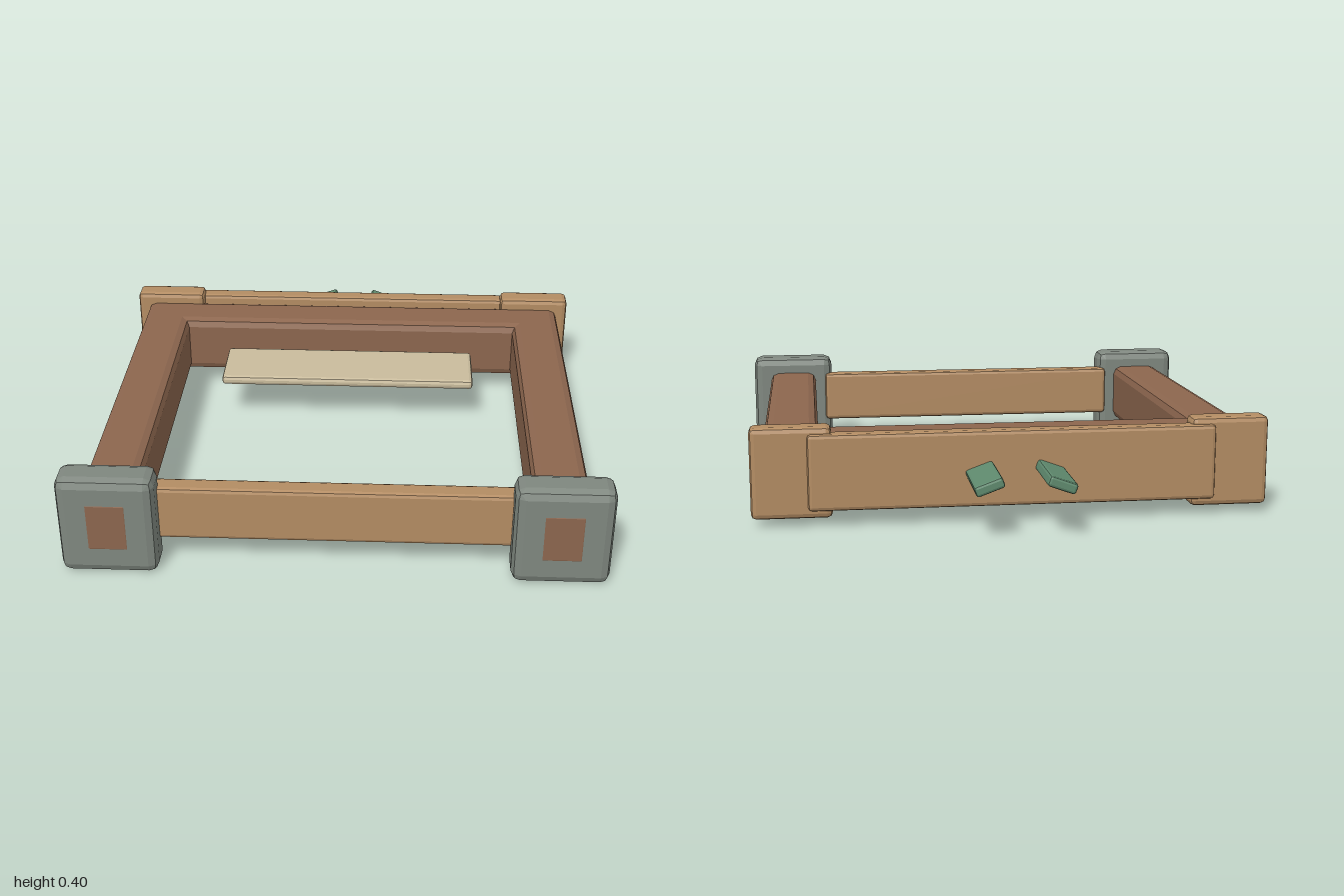
import * as THREE from 'three';
import { ConvexGeometry } from 'three/addons/geometries/ConvexGeometry.js';

// Box with two-step bevelled edges, centred on the origin
function bevelBox(w, h, d, r) {
  const points = [];
  for (const sx of [-1, 1]) for (const sy of [-1, 1]) for (const sz of [-1, 1]) {
    for (let m = 1; m < 8; m++) {
      const n = new THREE.Vector3(m & 1, (m >> 1) & 1, m >> 2).normalize();
      points.push(new THREE.Vector3(
        sx * (w / 2 - r + r * n.x),
        sy * (h / 2 - r + r * n.y),
        sz * (d / 2 - r + r * n.z)));
    }
  }
  return new ConvexGeometry(points);
}

export function createModel() {
  const group = new THREE.Group();
  const material = (name, color) => {
    const m = new THREE.MeshStandardMaterial({ color });
    m.name = name;
    return m;
  };
  const darkWood = material('dark wood', 0x8c664e);
  const lightWood = material('light wood', 0xb38c63);
  const stone = material('grey stone', 0x7f877f);
  const cream = material('cream', 0xc9bb9c);
  const green = material('green', 0x5f8a6e);

  // Adds a bevelled box given its extents on each axis
  const add = (name, mat, [x0, x1], [y0, y1], [z0, z1], bevel) => {
    const mesh = new THREE.Mesh(bevelBox(x1 - x0, y1 - y0, z1 - z0, bevel), mat);
    mesh.position.set((x0 + x1) / 2, (y0 + y1) / 2, (z0 + z1) / 2);
    mesh.name = name;
    group.add(mesh);
    return mesh;
  };
  const mirrored = (s, a, b) => (s > 0 ? [a, b] : [-b, -a]);

  for (const s of [1, -1]) {
    const side = s > 0 ? 'left' : 'right';
    // Side beam, its end showing through the front block
    add(side + 'Beam', darkWood, mirrored(s, 0.715, 0.92), [0.075, 0.325], [-0.64, 0.991], 0.035);
    add(side + 'FrontBlock', stone, mirrored(s, 0.64, 0.997), [0, 0.395], [0.85, 0.99], 0.035);
    add(side + 'BackBlock', lightWood, mirrored(s, 0.67, 0.967), [0.03, 0.37], [-0.71, -0.61], 0.02);
    // Drooping peg behind the back board
    const peg = add(side + 'Peg', green, [-0.054, 0.054], [0.177, 0.217], [-0.995, -0.68], 0.01);
    peg.position.x = s * 0.13;
    peg.rotation.z = -s * 0.35;
  }

  // Cross members
  add('backBeam', darkWood, [-0.9, 0.9], [0.075, 0.325], [-0.64, -0.44], 0.035);
  add('backBoard', lightWood, [-0.76, 0.76], [0.06, 0.345], [-0.727, -0.655], 0.015);
  add('frontBoard', lightWood, [-0.67, 0.67], [0.105, 0.32], [0.83, 0.91], 0.015);

  // Loose plate inside the frame
  add('innerPlate', cream, [-0.535, 0.535], [0.175, 0.215], [-0.402, -0.125], 0.015);

  return group;
}
